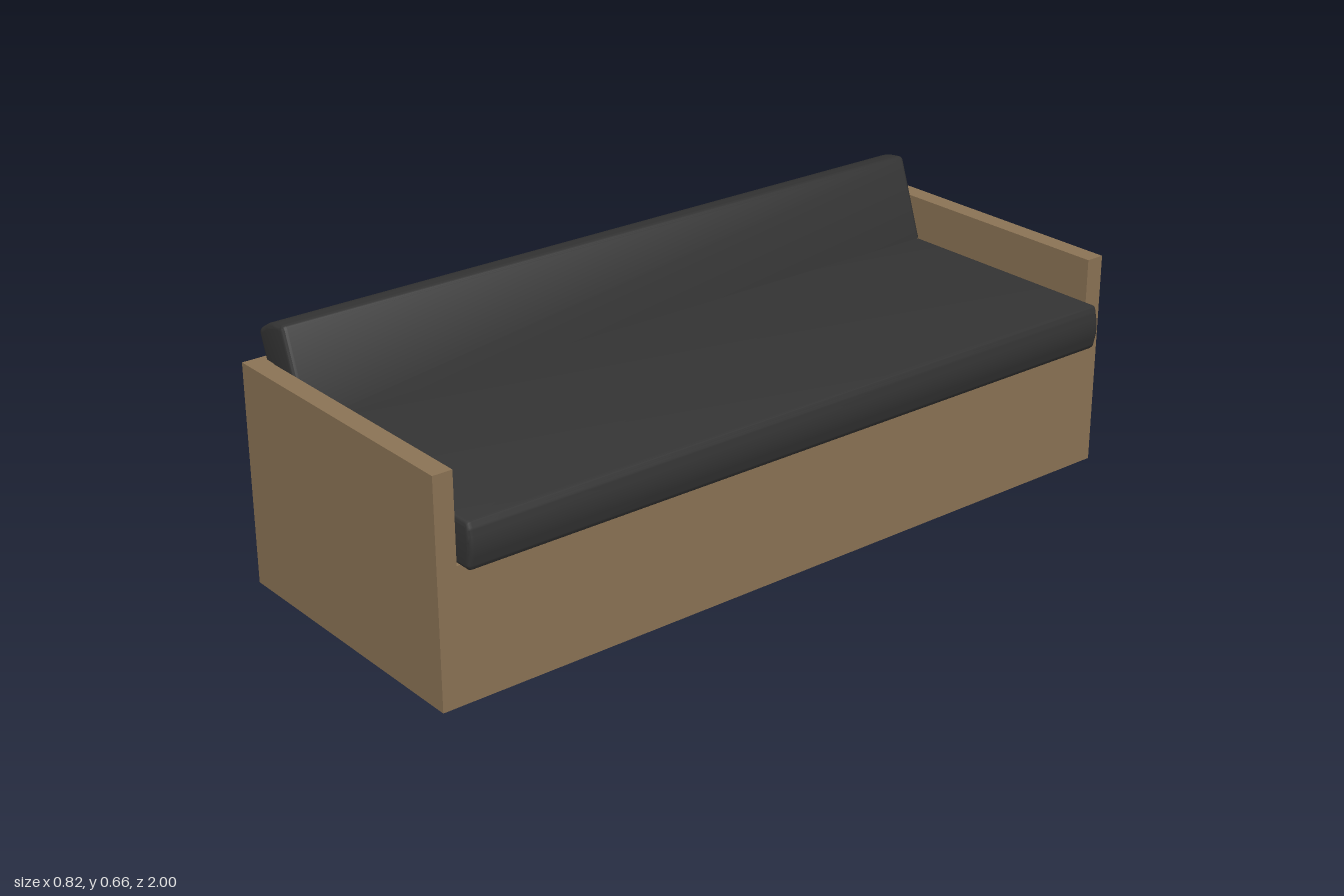
import * as THREE from 'three';
import { toCreasedNormals } from 'three/addons/utils/BufferGeometryUtils.js';

const wood = new THREE.MeshStandardMaterial({ name: 'brown wood', color: 0x8b7355 });
const fabric = new THREE.MeshStandardMaterial({ name: 'charcoal fabric', color: 0x333333 });

const BACK = -0.4, FRONT = 0.363, BOARD = 0.05, HEIGHT = 0.557, SEAT_Y = 0.335;

// Board given by its minimum and maximum corners
function board(name, min, max) {
  const [w, h, d] = max.map((v, i) => v - min[i]);
  const mesh = new THREE.Mesh(new THREE.BoxGeometry(w, h, d), wood);
  mesh.position.set(min[0] + w / 2, min[1] + h / 2, min[2] + d / 2);
  mesh.name = name;
  return mesh;
}

// Long cushion: a slab whose far edge (at x = length) is softly domed
function cushion(name, length, thickness) {
  const s = new THREE.Shape();
  const r = 0.02, inset = 0.006;
  s.moveTo(0, 0);
  s.lineTo(length - r, 0);
  s.quadraticCurveTo(length - inset - 0.002, 0, length - inset, r);
  s.quadraticCurveTo(length + inset, thickness / 2, length - inset, thickness - r);
  s.quadraticCurveTo(length - inset - 0.002, thickness, length - r, thickness);
  s.lineTo(0, thickness);
  s.closePath();
  const bevel = 0.012, depth = 1.896 - 2 * bevel;
  const geo = new THREE.ExtrudeGeometry(s, {
    depth, curveSegments: 6, bevelEnabled: true, bevelSize: bevel,
    bevelThickness: bevel, bevelOffset: -bevel, bevelSegments: 3,
  });
  geo.translate(0, 0, -depth / 2);
  const mesh = new THREE.Mesh(toCreasedNormals(geo, 0.7), fabric);
  mesh.name = name;
  return mesh;
}

export function createModel() {
  const sofa = new THREE.Group();
  sofa.name = 'sofa';

  // Open-bottomed wooden frame
  const inner = 1 - BOARD;
  sofa.add(
    board('leftEndPanel', [BACK, 0, inner], [FRONT, HEIGHT, 1]),
    board('rightEndPanel', [BACK, 0, -1], [FRONT, HEIGHT, -inner]),
    board('backPanel', [BACK, 0, -inner], [BACK + BOARD, HEIGHT, inner]),
    board('frontPanel', [FRONT - BOARD, 0, -inner], [FRONT, SEAT_Y, inner]),
  );

  // Seat cushion overhanging the front panel
  const seat = cushion('seatCushion', 0.643, 0.115);
  seat.position.set(-0.23, SEAT_Y, 0);
  sofa.add(seat);

  // Reclined back cushion rising from the rear of the seat
  const backrest = cushion('backCushion', 0.233, 0.116);
  backrest.position.set(-0.228, 0.45, 0);
  backrest.rotation.z = THREE.MathUtils.degToRad(109.3);
  sofa.add(backrest);

  return sofa;
}
